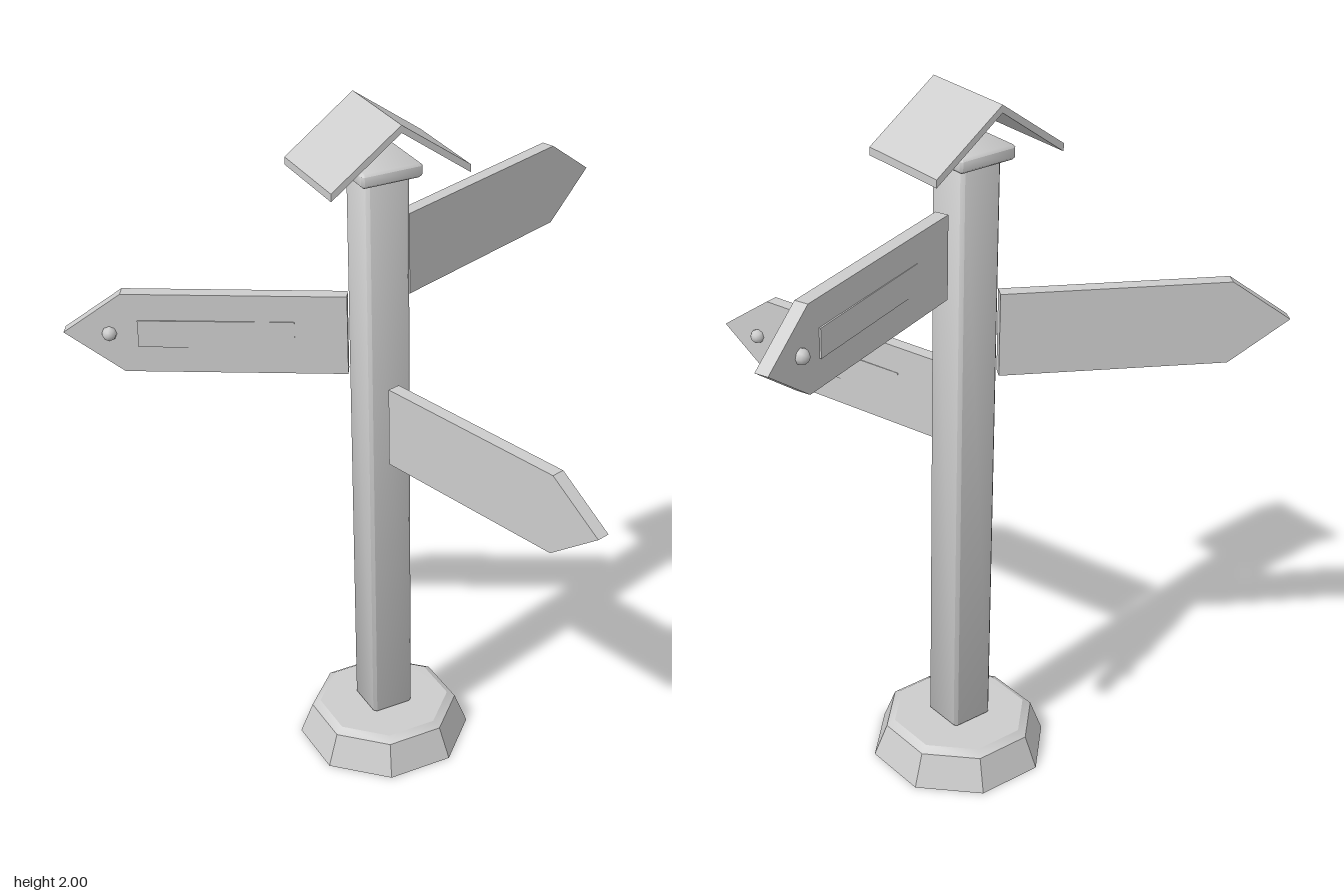
import * as THREE from 'three';
import { toCreasedNormals } from 'three/addons/utils/BufferGeometryUtils.js';

const stone = new THREE.MeshStandardMaterial({ color: 0xcccccc });
stone.name = 'light grey';

function mesh(name, geometry) {
  const m = new THREE.Mesh(geometry, stone);
  m.name = name;
  return m;
}

function polygon(points) {
  return new THREE.Shape(points.map(([x, y]) => new THREE.Vector2(x, y)));
}

// Square block standing on y = 0 with chamfered, softly shaded edges
function chamferedBlock(width, height, c) {
  const a = width / 2 - c, b = a - c * 0.4;
  const shape = polygon([[a, -b], [a, b], [b, a], [-b, a], [-a, b], [-a, -b], [-b, -a], [b, -a]]);
  const g = new THREE.ExtrudeGeometry(shape, {
    depth: height - 2 * c, bevelEnabled: true, bevelThickness: c, bevelSize: c, bevelSegments: 1,
  });
  g.translate(0, 0, c).rotateX(-Math.PI / 2);
  return toCreasedNormals(g, THREE.MathUtils.degToRad(50));
}

// Arrow board running along its own +x, with a panel and a nail on its -z face
function createSign(name, x, y, z, degrees) {
  const sign = new THREE.Group();
  sign.name = name;
  const length = 0.78, shoulder = 0.617, h = 0.118, t = 0.038;

  const board = new THREE.ExtrudeGeometry(
    polygon([[0, -h], [shoulder, -h], [length, 0], [shoulder, h], [0, h]]),
    { depth: t, bevelEnabled: false });
  board.translate(0, 0, -t / 2);
  sign.add(mesh('arrowBoard', board));

  // The panel leans slightly out toward the arrow tip
  const panel = mesh('panel', new THREE.BoxGeometry(0.43, 0.08, 0.006));
  panel.position.set(0.36, 0, -t / 2);
  panel.rotation.y = 0.008;
  sign.add(panel);

  const nail = mesh('nail', new THREE.SphereGeometry(0.021, 8, 6));
  nail.position.set(0.653, 0, -t / 2 - 0.004);
  nail.rotation.x = Math.PI / 2;
  sign.add(nail);

  sign.position.set(x, y, z);
  sign.rotation.y = THREE.MathUtils.degToRad(degrees);
  return sign;
}

export function createModel() {
  const model = new THREE.Group();
  model.name = 'signpost';

  // Everything upright shares the post axis
  const upright = new THREE.Group();
  upright.name = 'upright';
  upright.position.set(-0.04, 0, -0.19);
  model.add(upright);

  // Eight-sided foot with a softened top
  const k = 1 / Math.cos(Math.PI / 8);
  const profile = [[0, 0], [0.234, 0], [0.2, 0.095], [0.178, 0.11], [0, 0.112]]
    .map(([r, y]) => new THREE.Vector2(r * k, y));
  const foot = new THREE.LatheGeometry(profile, 8, Math.PI / 8);
  upright.add(mesh('foot', toCreasedNormals(foot, THREE.MathUtils.degToRad(30))));

  const post = mesh('post', chamferedBlock(0.127, 1.73, 0.009));
  post.position.y = 0.108;
  upright.add(post);

  const cap = mesh('cap', chamferedBlock(0.178, 0.04, 0.007));
  cap.position.y = 1.822;
  upright.add(cap);

  // Folded roof above the cap
  const roof = new THREE.ExtrudeGeometry(
    polygon([[-0.202, 1.832], [0, 1.979], [0.202, 1.832], [0.202, 1.854], [0, 2], [-0.202, 1.854]]),
    { depth: 0.274, bevelEnabled: false });
  roof.translate(0, 0, -0.137);
  upright.add(mesh('roof', roof));

  // Three arrow signs around the post
  model.add(createSign('upperSign', 0.04, 1.573, -0.193, 20.4));
  model.add(createSign('middleSign', -0.104, 1.337, -0.253, 150));
  model.add(createSign('lowerSign', -0.039, 1.1, -0.11, -75));

  return model;
}
